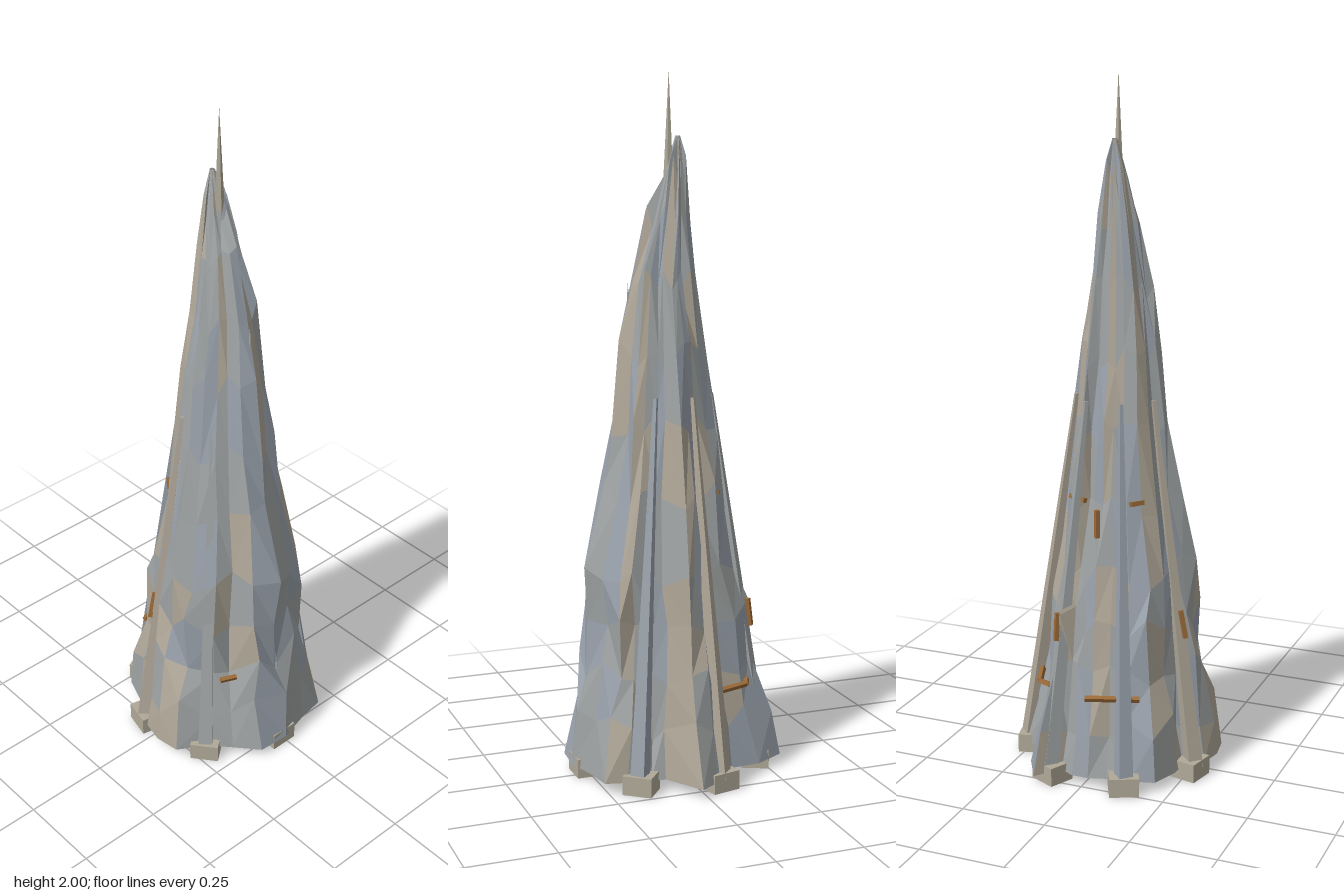
import * as THREE from 'three';

const CZ = 0.012;
const rocky = (color) => new THREE.MeshStandardMaterial({ color, flatShading: true, side: THREE.DoubleSide });
// Slate, grey and tan strata of the rock
const strata = [rocky(0x9aa2ac), rocky(0x9fa3a3), rocky(0xb0a798)];
const stone = rocky(0xb0a998);
const wood = new THREE.MeshStandardMaterial({ color: 0x9a6a38, flatShading: true });

// Ground outline from +x towards +z: [x, z, radius the ridge settles to higher up]
const OUTLINE = [
  [0.3, 0.01, 0.3], [0.295, 0.105, 0.29], [0.23, 0.165, 0.225], [0.175, 0.21, 0.25], [0.12, 0.3, 0.27],
  [0.045, 0.31, 0.28], [-0.025, 0.295, 0.26], [-0.06, 0.24, 0.235], [-0.12, 0.24, 0.25], [-0.205, 0.21, 0.26],
  [-0.225, 0.14, 0.23], [-0.235, 0.07, 0.22], [-0.25, 0.02, 0.235], [-0.25, -0.03, 0.235], [-0.23, -0.07, 0.22],
  [-0.3, -0.13, 0.27], [-0.21, -0.18, 0.24], [-0.12, -0.185, 0.2], [-0.09, -0.25, 0.23], [-0.04, -0.275, 0.26],
  [0.02, -0.313, 0.28], [0.09, -0.2, 0.22], [0.13, -0.19, 0.22], [0.2, -0.185, 0.26], [0.262, -0.17, 0.29],
  [0.275, -0.085, 0.28],
];
// [height, scale of the outline, centre x]
const LEVELS = [
  [0.03, 1, 0], [0.17, 0.95, 0], [0.32, 0.89, 0], [0.47, 0.85, 0.004], [0.62, 0.79, 0.018], [0.82, 0.64, 0.014],
  [1.02, 0.535, 0.01], [1.22, 0.44, 0.012], [1.42, 0.335, 0.014], [1.6, 0.22, 0], [1.73, 0.12, -0.016], [1.82, 0.025, -0.027],
];

function seeded(seed) {
  return () => {
    seed = (seed * 16807) % 2147483647;
    return seed / 2147483647;
  };
}

function add(group, name, geometry, material, x = 0, y = 0, z = 0) {
  const mesh = new THREE.Mesh(geometry, material);
  mesh.name = name;
  mesh.position.set(x, y, z);
  group.add(mesh);
  return mesh;
}

// Craggy shell: long vertical ridges that shrink upward, slightly jittered
function spireGeometry() {
  const rand = seeded(71);
  const n = OUTLINE.length;
  const pos = [];
  LEVELS.forEach(([y, s, cx], j) => {
    const jitter = j > 0 && j < LEVELS.length - 1 ? 1 : 0;
    OUTLINE.forEach(([x, z, upper]) => {
      const spread = jitter * (rand() - 0.5);
      const a = Math.atan2(z - CZ, x) + spread * 0.08;
      const r0 = THREE.MathUtils.lerp(Math.hypot(x, z - CZ), upper, Math.min(1, y / 0.4));
      const r = r0 * s * (1 + jitter * (rand() * 0.13 - 0.08));
      pos.push(cx + r * Math.cos(a), y + jitter * (rand() - 0.5) * 0.09, CZ + r * Math.sin(a));
    });
  });
  const g = new THREE.BufferGeometry();
  const index = [];
  for (let i = 0; i < n; i++) {
    const k = (i + 1) % n;
    for (let j = 0; j < LEVELS.length - 1; j++) {
      const a = j * n + i, b = j * n + k, c = a + n, d = b + n;
      g.addGroup(index.length, 6, Math.floor(rand() * 1.6 + (i % 3) * 0.7));
      if (i % 2) index.push(a, c, b, b, c, d);
      else index.push(a, c, d, a, d, b);
    }
  }
  g.setAttribute('position', new THREE.Float32BufferAttribute(pos, 3));
  g.setIndex(index);
  g.computeVertexNormals();
  return g;
}

// A straight four-sided bar between two points
function bar(group, name, from, to, bottom, top, material) {
  const a = new THREE.Vector3(...from), b = new THREE.Vector3(...to);
  const dir = b.clone().sub(a);
  const mesh = add(group, name, new THREE.CylinderGeometry(top, bottom, dir.length(), 4), material);
  mesh.position.copy(a).add(b).multiplyScalar(0.5);
  mesh.quaternion.setFromUnitVectors(new THREE.Vector3(0, 1, 0), dir.normalize());
}

export function createModel() {
  const model = new THREE.Group();
  model.name = 'rockSpire';
  add(model, 'spireBody', spireGeometry(), strata);

  // Seven footing blocks, each carrying a slender leaning buttress
  for (let i = 0; i < 7; i++) {
    const a = (i / 7) * Math.PI * 2;
    const c = Math.cos(a), s = Math.sin(a);
    const block = add(model, 'footingBlock', new THREE.BoxGeometry(0.08, 0.055, 0.085), stone, 0.255 * c, 0.0275, CZ + 0.255 * s);
    block.rotation.y = -a;
    bar(model, 'buttress', [0.268 * c, 0.03, CZ + 0.268 * s], [0.12 * c, 1.1, CZ + 0.12 * s], 0.03, 0.007, strata[i % 3]);
  }

  // Needle on the summit and a small side pinnacle
  add(model, 'summitNeedle', new THREE.ConeGeometry(0.015, 0.3, 5), stone, 0, 1.85, CZ);
  add(model, 'sidePinnacle', new THREE.ConeGeometry(0.014, 0.24, 5), stone, 0.122, 1.3, CZ);

  // Timber walkways and props around the rock
  const beams = [
    [[-0.08, 0.27, -0.195], [-0.172, 0.27, -0.162]],
    [[-0.172, 0.27, -0.162], [-0.19, 0.27, -0.12]],
    [[-0.243, 0.27, 0.01], [-0.19, 0.27, 0.155]],
    [[0.193, 0.27, 0.12], [0.173, 0.27, 0.165]],
    [[-0.04, 0.27, 0.238], [0.002, 0.27, 0.252]],
    [[-0.055, 0.42, 0.242], [-0.053, 0.5, 0.225]],
    [[-0.108, 0.82, -0.09], [-0.137, 0.82, -0.032]],
    [[-0.125, 0.82, 0.1], [-0.09, 0.82, 0.125]],
    [[-0.215, 0.42, -0.09], [-0.205, 0.5, -0.09]],
    [[-0.152, 0.72, 0.01], [-0.15, 0.8, 0.01]],
  ];
  beams.forEach(([from, to]) => bar(model, 'timberBeam', from, to, 0.009, 0.009, wood));
  return model;
}
